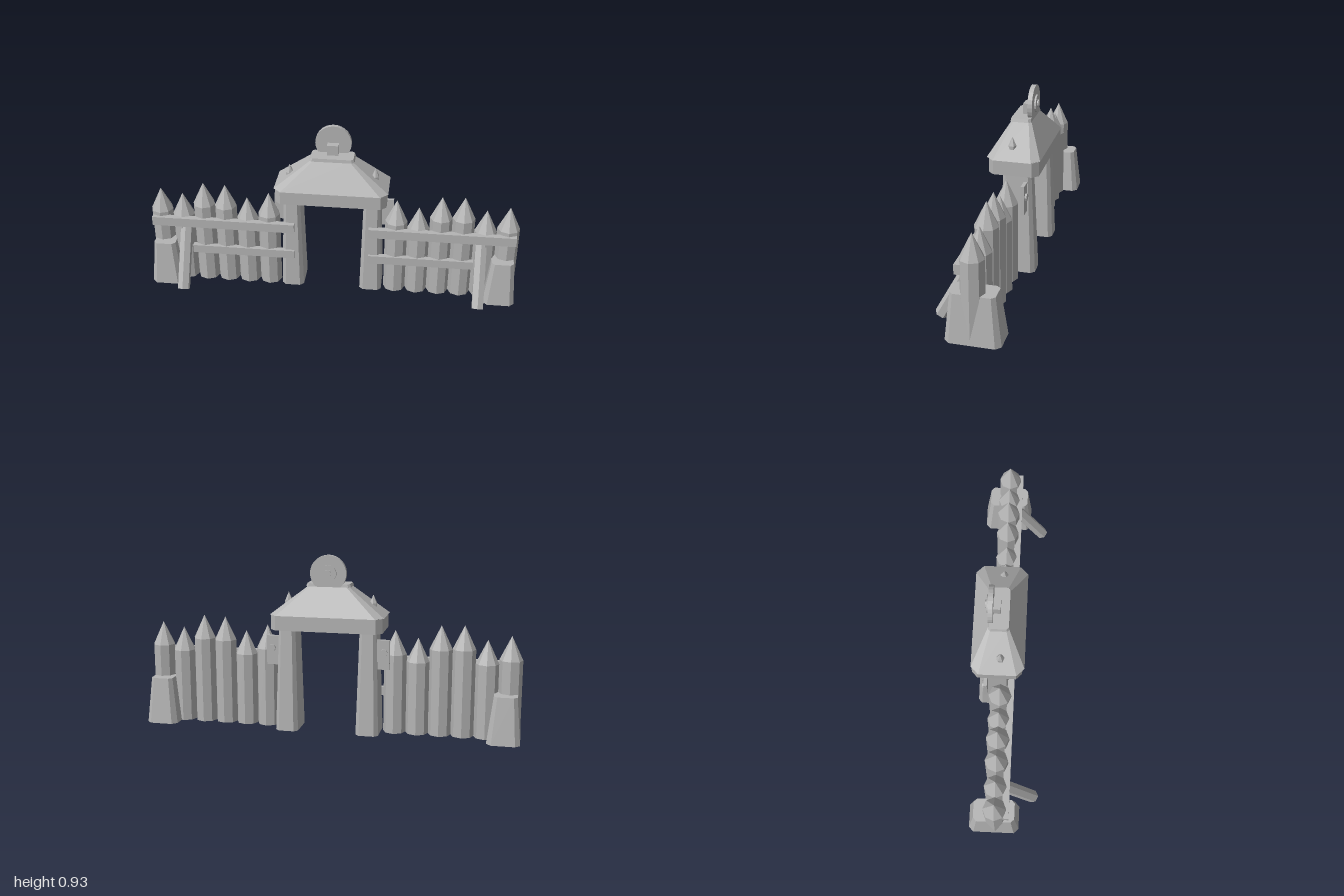
import * as THREE from 'three';

// Rectangle outline with cut corners at one height
function ring({ y, x0, x1, z0, z1, c }) {
  return [
    [x0 + c, z1], [x1 - c, z1], [x1, z1 - c], [x1, z0 + c],
    [x1 - c, z0], [x0 + c, z0], [x0, z0 + c], [x0, z1 - c],
  ].map(([x, z]) => new THREE.Vector3(x, y, z));
}

// Solid through a stack of cut-corner rectangles, listed bottom to top
function loft(levels, closedBottom) {
  const rings = levels.map(ring);
  const pts = [];
  for (let k = 0; k < rings.length - 1; k++) {
    const a = rings[k], b = rings[k + 1];
    for (let i = 0; i < 8; i++) {
      const j = (i + 1) % 8;
      pts.push(a[i], a[j], b[j], a[i], b[j], b[i]);
    }
  }
  const top = rings[rings.length - 1], low = rings[0];
  for (let i = 1; i < 7; i++) {
    pts.push(top[0], top[i], top[i + 1]);
    if (closedBottom) pts.push(low[0], low[i + 1], low[i]);
  }
  const g = new THREE.BufferGeometry().setFromPoints(pts);
  g.computeVertexNormals();
  return g;
}

export function createModel() {
  const model = new THREE.Group();
  const grey = new THREE.MeshStandardMaterial({ color: 0xb4b4b4, side: THREE.DoubleSide, flatShading: true });
  grey.name = 'plain grey';

  function add(parent, name, geometry, x = 0, y = 0, z = 0) {
    const m = new THREE.Mesh(geometry, grey);
    m.name = name;
    m.position.set(x, y, z);
    parent.add(m);
    return m;
  }

  // Sharpened log: open tube with a pointed cap
  function stake(parent, name, x, z, bottom, shoulder, tip, r, sides) {
    const g = new THREE.Group();
    g.name = name;
    g.position.set(x, 0, z);
    add(g, 'shaft', new THREE.CylinderGeometry(r, r, shoulder - bottom, sides, 1, true), 0, (shoulder + bottom) / 2, 0);
    add(g, 'point', new THREE.ConeGeometry(r, tip - shoulder, sides, 1, true), 0, (shoulder + tip) / 2, 0);
    parent.add(g);
  }

  // Both wall wings, mirrored by sign so face winding stays correct
  const tips = [0.545, 0.51, 0.58, 0.585, 0.515, 0.54];
  for (const s of [1, -1]) {
    const wing = new THREE.Group();
    wing.name = s > 0 ? 'leftWing' : 'rightWing';
    model.add(wing);
    const span = (a, b) => ({ x0: Math.min(s * a, s * b), x1: Math.max(s * a, s * b) });

    // Palisade stakes
    tips.forEach((tip, i) => {
      const x = s * (0.345 + i * 0.1185);
      stake(wing, 'palisadeStake', x, -0.037, 0, tip - 0.125, tip, 0.06, 8);
    });

    // Rails across the front
    add(wing, 'upperRail', new THREE.BoxGeometry(0.78, 0.05, 0.035), s * 0.59, 0.37, 0.019);
    add(wing, 'lowerRail', new THREE.BoxGeometry(0.565, 0.046, 0.03), s * 0.483, 0.203, 0.015);

    // Leaning brace
    const brace = add(wing, 'brace', new THREE.CylinderGeometry(0.034, 0.034, 0.38, 6), s * 0.8, 0.19, 0.07);
    brace.rotation.x = -0.5;

    // Tapered end block
    add(wing, 'endBlock', loft([
      { y: 0, ...span(0.83, 1), z0: -0.18, z1: 0.09, c: 0.025 },
      { y: 0.245, ...span(0.86, 0.978), z0: -0.15, z1: 0.065, c: 0.018 },
    ]));

    // Gate pillar
    add(wing, 'gatePillar', loft([
      { y: 0, ...span(0.155, 0.275), z0: -0.165, z1: 0.022, c: 0.02 },
      { y: 0.56, ...span(0.17, 0.258), z0: -0.14, z1: 0.006, c: 0.016 },
    ]));

    // Back plate with a round knob
    add(wing, 'backPlate', new THREE.BoxGeometry(0.075, 0.155, 0.018), s * 0.288, 0.428, -0.114);
    const knob = add(wing, 'plateKnob', new THREE.CylinderGeometry(0.02, 0.02, 0.012, 8), s * 0.297, 0.44, -0.127);
    knob.rotation.x = Math.PI / 2;

    // Small spike poking through the roof
    stake(wing, 'roofSpike', s * 0.226, -0.038, 0.63, 0.682, 0.728, 0.021, 6);
  }

  // Gate roof: beam, sloped roof and ridge cap
  const roof = new THREE.Group();
  roof.name = 'gateRoof';
  model.add(roof);
  const level = (y, x, z0, z1, c) => ({ y, x0: -x, x1: x, z0, z1, c });
  add(roof, 'lintel', loft([level(0.545, 0.293, -0.183, 0.075, 0.03), level(0.624, 0.293, -0.183, 0.075, 0.03)], true));
  add(roof, 'slopes', loft([
    level(0.622, 0.3, -0.188, 0.086, 0.04),
    level(0.77, 0.108, -0.104, -0.002, 0.012),
  ], true));
  add(roof, 'ridgeCap', loft([level(0.768, 0.118, -0.105, 0.003, 0.012), level(0.785, 0.112, -0.102, 0, 0.012)], true));

  // Crest: round disc, front block and stepped rings on the back
  const crest = new THREE.Group();
  crest.name = 'crest';
  model.add(crest);
  const disc = (name, r, z0, z1, sides) => {
    const m = add(crest, name, new THREE.CylinderGeometry(r, r, z1 - z0, sides), 0, 0.838, (z0 + z1) / 2);
    m.rotation.x = Math.PI / 2;
  };
  disc('disc', 0.095, -0.105, -0.081, 28);
  disc('outerBoss', 0.045, -0.114, -0.1, 16);
  disc('innerBoss', 0.02, -0.122, -0.11, 10);
  add(crest, 'crestBlock', new THREE.BoxGeometry(0.06, 0.058, 0.04), 0, 0.811, -0.064);

  return model;
}
